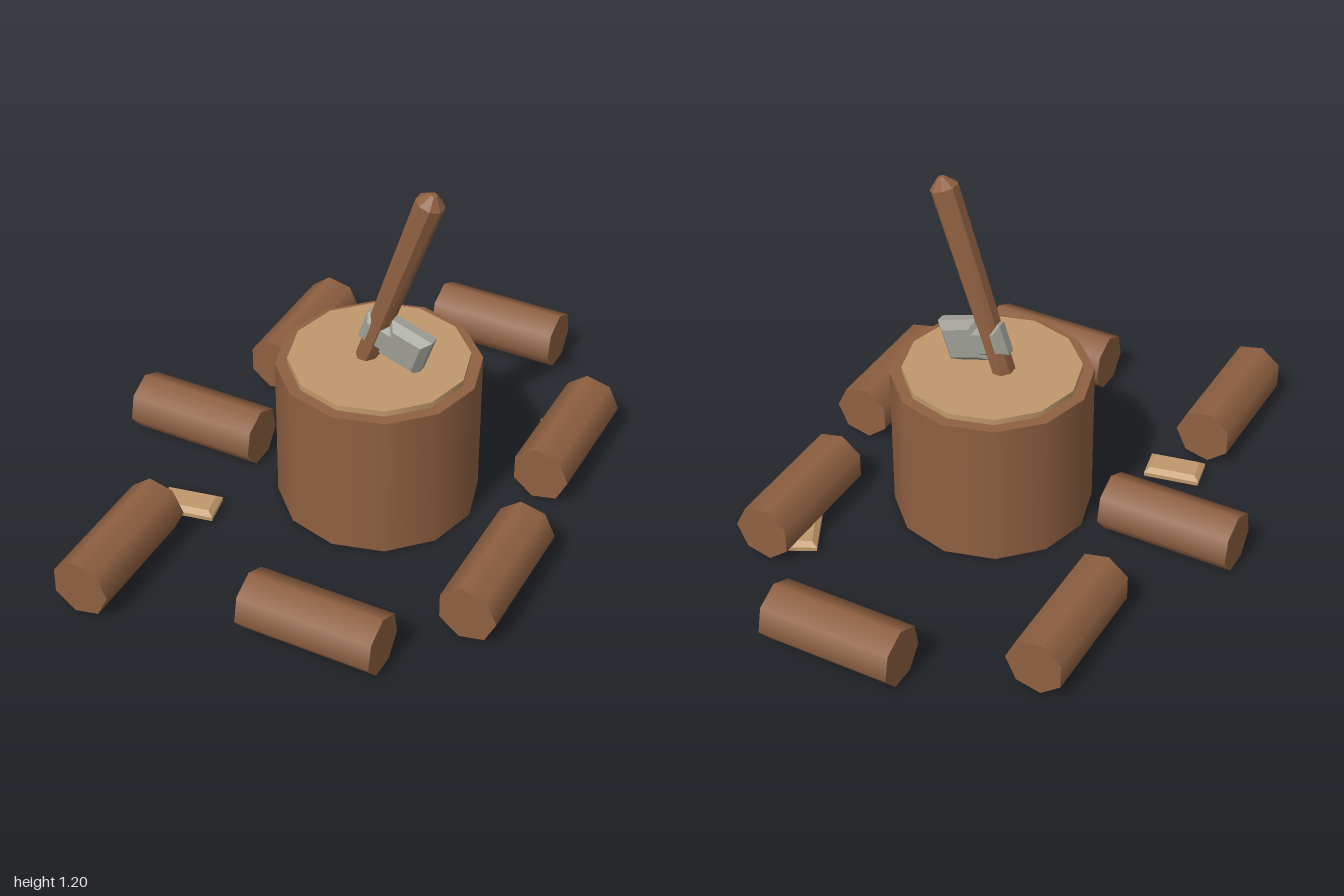
import * as THREE from 'three';

const wood = new THREE.MeshStandardMaterial({ name: 'bark brown', color: 0x8f6041 });
const cut = new THREE.MeshStandardMaterial({ name: 'cut wood tan', color: 0xc0986b });
const steel = new THREE.MeshStandardMaterial({ name: 'steel grey', color: 0x9d9d95 });

function add(parent, name, geometry, material, x = 0, y = 0, z = 0) {
  const mesh = new THREE.Mesh(geometry, material);
  mesh.name = name;
  mesh.position.set(x, y, z);
  parent.add(mesh);
  return mesh;
}

// Give every face its own flat normal
function faceted(geometry) {
  const g = geometry.toNonIndexed();
  g.computeVertexNormals();
  return g;
}

// Block with chamfered front and back rims, centred on the origin
function chamferBlock(w, h, d, size, thickness) {
  const a = w / 2 - size, b = h / 2 - size;
  const shape = new THREE.Shape([[-a, -b], [a, -b], [a, b], [-a, b]].map(([x, y]) => new THREE.Vector2(x, y)));
  const depth = d - 2 * thickness;
  const g = new THREE.ExtrudeGeometry(shape, {
    depth, bevelEnabled: true, bevelSegments: 1, bevelSize: size, bevelThickness: thickness,
  });
  return g.translate(0, 0, -depth / 2);
}

export function createModel() {
  const model = new THREE.Group();
  model.name = 'choppingBlock';

  // Stump with a raised cut face
  add(model, 'stump', new THREE.CylinderGeometry(0.336, 0.336, 0.52, 12), wood, 0.1, 0.26, 0.02);
  add(model, 'stumpTop', new THREE.CylinderGeometry(0.297, 0.297, 0.04, 12), cut, 0.1, 0.52, 0.02);

  // Seven-sided logs scattered around the stump: [x, z, lies along x]
  const logShape = () => new THREE.CylinderGeometry(0.1, 0.1, 0.458, 7, 1, false, Math.PI / 2);
  const logX = logShape().rotateZ(Math.PI / 2);
  const logZ = logShape().rotateX(Math.PI / 2);
  const logs = [
    [0.135, -0.903, true], [0.272, 0.79, true], [-0.544, 0.075, true],
    [-0.468, -0.524, false], [0.605, -0.391, false], [0.669, 0.329, false], [-0.443, 0.77, false],
  ];
  logs.forEach(([x, z, alongX], i) => add(model, 'log' + (i + 1), alongX ? logX : logZ, wood, x, 0.1, z));

  // Wood chips on the ground
  const chip = chamferBlock(0.19, 0.11, 0.044, 0.017, 0.015).rotateX(-Math.PI / 2);
  add(model, 'chipFront', chip, cut, -0.397, 0.022, 0.415).rotation.y = 0.19;
  add(model, 'chipBack', chip, cut, 0.55, 0.022, -0.47).rotation.y = -1.1;

  // Axe leaning out of the stump; local y runs along the handle
  const axe = new THREE.Group();
  axe.name = 'axe';
  axe.position.set(0.098, 0.65, 0.025);
  axe.rotation.z = -0.322;
  model.add(axe);

  // Eight-sided handle, narrowing towards the head in width only
  const r = 0.0476;
  const shaft = new THREE.CylinderGeometry(r, r, 0.72, 8, 1, false, Math.PI / 8);
  const pos = shaft.attributes.position;
  for (let i = 0; i < pos.count; i++) if (pos.getY(i) < 0) pos.setX(i, pos.getX(i) * 0.74);
  add(axe, 'handle', faceted(shaft), wood, 0, 0.183, 0);
  add(axe, 'handleTip', faceted(new THREE.CylinderGeometry(0.012, r, 0.035, 8, 1, false, Math.PI / 8)), wood, 0, 0.56, 0);

  // Axe head: small poll behind the handle, taller blade in front
  add(axe, 'axePoll', chamferBlock(0.13, 0.108, 0.082, 0.02, 0.026), steel, 0.015, -0.004, 0);
  const blade = chamferBlock(0.15, 0.15, 0.084, 0.024, 0.026);
  add(axe, 'axeBlade', blade, steel, 0.109, 0, 0);

  return model;
}
